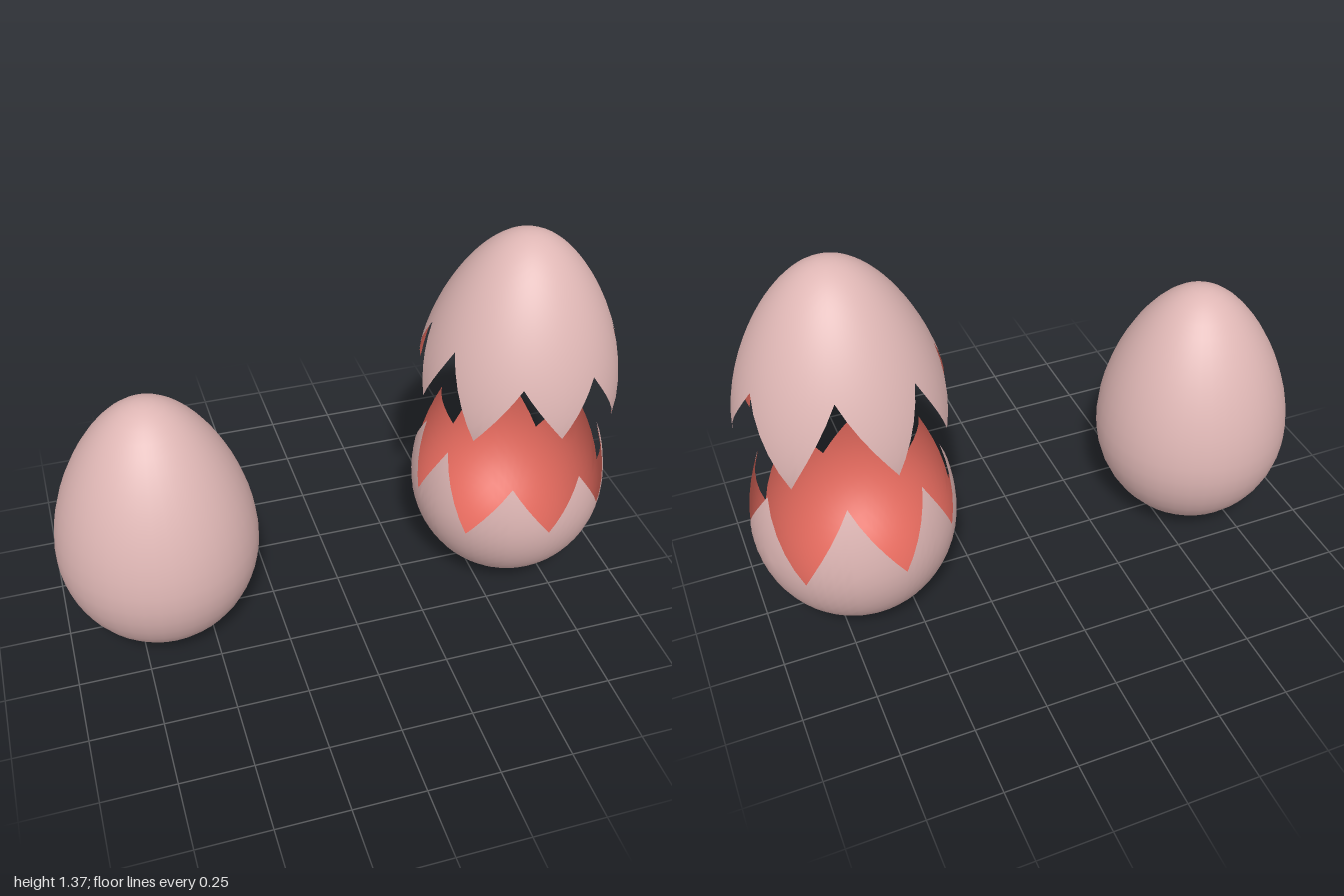
import * as THREE from 'three';

const H = 0.95, MID = H / 2, WIDE = 0.38, LIFT = 0.415;

// Crack corners as [angle in degrees from +x towards +z, height]
const crack = [
  [-167, 0.62], [-143, 0.385], [-125, 0.62], [-103, 0.36], [-74, 0.64], [-47, 0.34],
  [-18, 0.61], [8, 0.385], [24.5, 0.63], [40, 0.32], [66, 0.55], [87, 0.36],
  [111, 0.55], [136, 0.33], [158, 0.61], [177, 0.385], [193, 0.62],
];

// Egg radius at polar angle t (0 = bottom, PI = top)
function radius(t) {
  const c = Math.cos(t), y = MID * (1 - c);
  if (y < WIDE) return 0.3507 * Math.sqrt(Math.max(0, 1 - (1 - y / WIDE) ** 2));
  return 0.3425 * Math.sin(t) * (1 + 0.224 * c);
}

const heightToPolar = (y) => Math.acos(1 - y / MID);

// Columns of { angle, polar angle of the crack }, subdivided between crack corners
function crackColumns(steps = 5) {
  const cols = [];
  for (let k = 0; k < crack.length - 1; k++) {
    const [a0, y0] = crack[k], [a1, y1] = crack[k + 1];
    for (let s = 0; s < steps; s++) {
      const f = s / steps;
      cols.push([a0 + (a1 - a0) * f, y0 + (y1 - y0) * f]);
    }
  }
  cols.push(crack[crack.length - 1]);
  return cols.map(([a, y]) => ({ a: THREE.MathUtils.degToRad(a), t: heightToPolar(y) }));
}

// Egg surface between polar limits from(col) and to(col); inner shells face inwards
function shell(cols, from, to, rows, inner = false) {
  const pos = [], nor = [], idx = [], e = 0.002;
  const inset = inner ? 0.002 : 0, sign = inner ? -1 : 1;
  for (const col of cols) {
    const t0 = from(col), t1 = to(col), ca = Math.cos(col.a), sa = Math.sin(col.a);
    for (let i = 0; i <= rows; i++) {
      const t = t0 + (t1 - t0) * i / rows;
      const lo = Math.max(0, t - e), hi = Math.min(Math.PI, t + e);
      let nr = MID * (Math.cos(lo) - Math.cos(hi));
      let ny = radius(lo) - radius(hi);
      const len = Math.hypot(nr, ny);
      nr /= len; ny /= len;
      const r = Math.max(0, radius(t) - inset * nr);
      pos.push(r * ca, MID * (1 - Math.cos(t)) - inset * ny, r * sa);
      nor.push(sign * nr * ca, sign * ny, sign * nr * sa);
    }
  }
  for (let j = 0; j < cols.length - 1; j++) {
    for (let i = 0; i < rows; i++) {
      const p = j * (rows + 1) + i, q = p + rows + 1;
      if (inner) idx.push(p, q, p + 1, p + 1, q, q + 1);
      else idx.push(p, p + 1, q, p + 1, q + 1, q);
    }
  }
  const g = new THREE.BufferGeometry();
  g.setAttribute('position', new THREE.Float32BufferAttribute(pos, 3));
  g.setAttribute('normal', new THREE.Float32BufferAttribute(nor, 3));
  g.setIndex(idx);
  return g;
}

export function createModel() {
  const shellPink = new THREE.MeshStandardMaterial({ name: 'shellPink', color: 0xdfb7b5 });
  const innerRed = new THREE.MeshStandardMaterial({ name: 'innerRed', color: 0xe0685c });
  const model = new THREE.Group();
  model.name = 'eggs';

  const add = (parent, name, geometry, material) => {
    const mesh = new THREE.Mesh(geometry, material);
    mesh.name = name;
    parent.add(mesh);
    return mesh;
  };
  const bottom = () => 0, top = () => Math.PI, edge = (col) => col.t;

  // Whole egg
  const ring = Array.from({ length: 41 }, (_, j) => ({ a: j / 40 * Math.PI * 2 }));
  add(model, 'wholeEgg', shell(ring, bottom, top, 24), shellPink).position.x = -0.65;

  // Cracked egg: lower cup and lifted cap share one zigzag edge
  const cols = crackColumns();
  const halves = [['lowerShell', bottom, edge, 0], ['upperShell', edge, top, LIFT]];
  for (const [name, from, to, y] of halves) {
    const half = new THREE.Group();
    half.name = name;
    half.position.set(0.65, y, 0);
    add(half, name + 'Outside', shell(cols, from, to, 14), shellPink);
    add(half, name + 'Inside', shell(cols, from, to, 14, true), innerRed);
    model.add(half);
  }
  return model;
}
